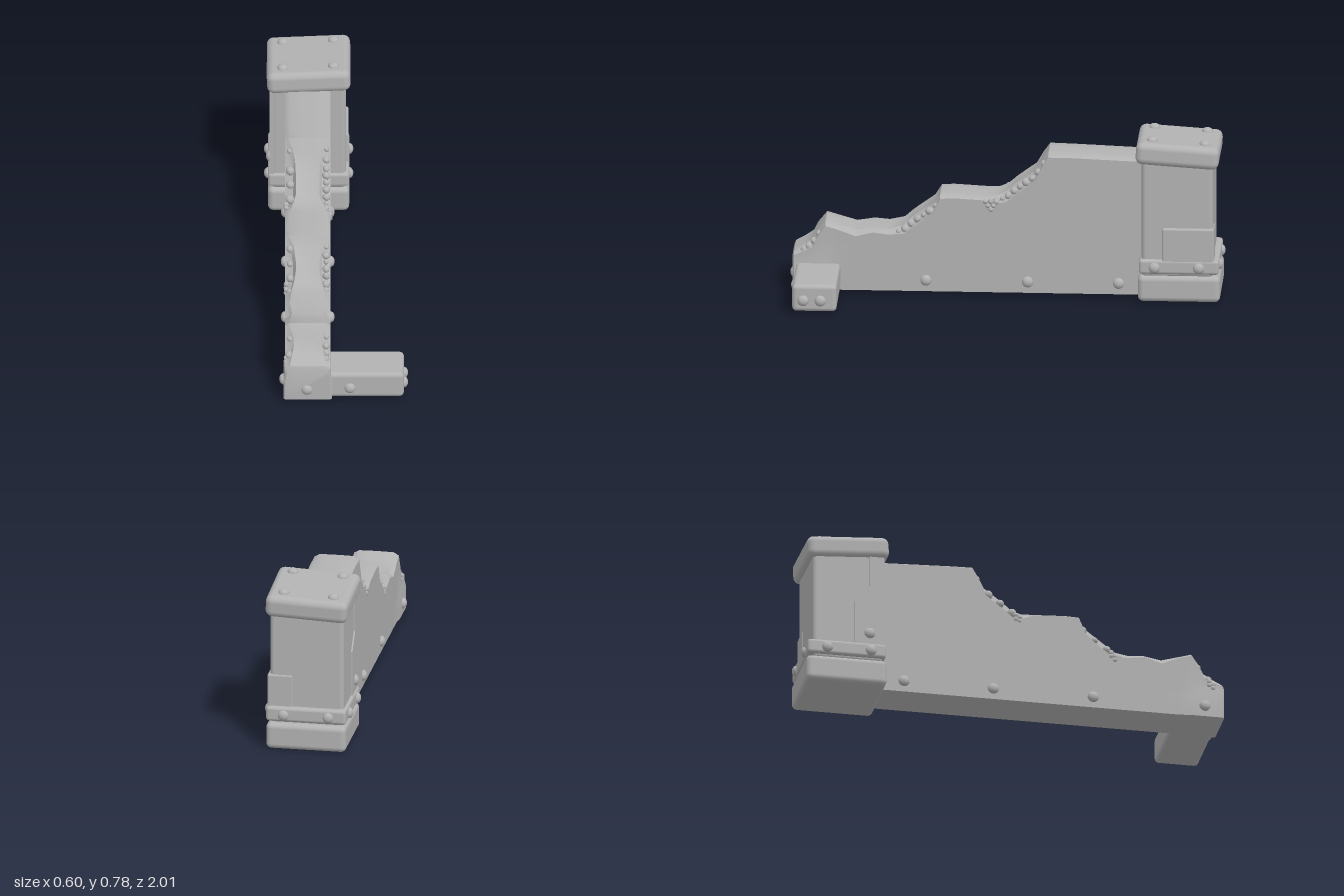
import * as THREE from 'three';
import { toCreasedNormals } from 'three/addons/utils/BufferGeometryUtils.js';
import { RoundedBoxGeometry } from 'three/addons/geometries/RoundedBoxGeometry.js';

const stone = new THREE.MeshStandardMaterial({ color: 0xb2b2b2 });
stone.name = 'grey stone';

// Wall crest from front to back: [z, height, how badly the edges are broken]
const crest = [
  [0.992, 0.175, 0], [0.985, 0.192, 0.1], [0.94, 0.22, 0.4], [0.9, 0.25, 0.7], [0.88, 0.29, 0.6], [0.84, 0.335, 0.1],
  [0.78, 0.317, 0.1], [0.7, 0.297, 0.4], [0.62, 0.307, 0.1], [0.55, 0.302, 0.2], [0.48, 0.322, 0.7],
  [0.44, 0.36, 1], [0.4, 0.39, 1], [0.34, 0.43, 0.7], [0.31, 0.475, 0.1], [0.25, 0.476, 0], [0.1, 0.468, 0],
  [0.04, 0.475, 0.6], [0, 0.495, 1], [-0.04, 0.53, 1], [-0.08, 0.56, 1], [-0.13, 0.595, 0.9],
  [-0.16, 0.645, 0.5], [-0.19, 0.684, 0.1], [-0.3, 0.68, 0], [-0.68, 0.665, 0],
];
const WALL_X = -0.122, WALL_HALF = 0.105;

function crestHeight(z) {
  for (let i = 1; i < crest.length; i++) {
    const [za, ya] = crest[i - 1], [zb, yb] = crest[i];
    if (z <= za && z >= zb) return ya + (yb - ya) * (za - z) / (za - zb);
  }
  return crest[0][1];
}

// Lofted wall with worn edges along the broken slopes
function wallGeometry() {
  const pos = [], index = [];
  let n = 0;
  crest.forEach(([z, y, worn], i) => {
    const w = WALL_HALF - (i === 0 ? 0.008 : 0);
    const foot = w + (z > 0.8 ? 0.007 : 0);
    const inset = 0.008 + 0.03 * worn;
    const dropL = 0.012 + 0.05 * worn, dropR = 0.012 + 0.032 * worn;
    const ring = [
      [-foot, 0.012], [-foot, 0.12], [-w, 0.15], [-w, y - dropL], [-w + inset, y - dropL * 0.6],
      [-w + inset + 0.012, y - 0.002], [-0.025, y - 0.008 * worn], [0.03, y - 0.008 * worn],
      [w - inset - 0.012, y - 0.002], [w - inset, y - dropR * 0.6], [w, y - dropR],
      [w, 0.15], [foot, 0.12], [foot, 0.012],
    ];
    n = ring.length;
    ring.forEach(([x, h]) => pos.push(WALL_X + x, h, z));
  });
  for (let i = 0; i < crest.length - 1; i++) {
    for (let j = 0; j < n; j++) {
      const a = i * n + j, b = i * n + (j + 1) % n;
      index.push(a, b, a + n, b, b + n, a + n);
    }
  }
  for (let j = 1; j < n - 1; j++) index.push(0, j + 1, j);
  const geo = new THREE.BufferGeometry();
  geo.setAttribute('position', new THREE.Float32BufferAttribute(pos, 3));
  geo.setIndex(index);
  return toCreasedNormals(geo, 0.6);
}

export function createModel() {
  const model = new THREE.Group();
  model.name = 'ruinedWall';
  const body = new THREE.Group();
  body.name = 'wallBody';
  body.rotation.y = -0.045;
  model.add(body);

  const add = (name, geo, x, y, z, parent = body) => {
    const mesh = new THREE.Mesh(geo, stone);
    mesh.name = name;
    mesh.position.set(x, y, z);
    parent.add(mesh);
    return mesh;
  };
  const block = (name, w, h, d, r, x, y, z, parent) =>
    add(name, new RoundedBoxGeometry(w, h, d, 3, r), x, y, z, parent);

  // Domed stud squashed along the axis it faces
  const studGeo = new THREE.SphereGeometry(0.026, 16, 12);
  const stud = (axis, x, y, z, parent) => {
    const m = add('stud', studGeo, x, y, z, parent);
    m.scale[axis] = 0.75;
    return m;
  };

  add('brokenWall', wallGeometry(), 0, 0, 0);

  // Short beam at the front
  block('frontBeam', 0.38, 0.128, 0.205, 0.02, 0.132, 0.075, 0.873);

  // Pillar
  const px = -0.118, pz = -0.79;
  block('pillarBase', 0.375, 0.125, 0.38, 0.025, px, 0.066, pz - 0.008);
  block('pillarShaft', 0.345, 0.56, 0.33, 0.02, px, 0.4, pz);
  block('pillarBand', 0.375, 0.07, 0.37, 0.015, px, 0.173, pz - 0.008);
  block('cornerPatch', 0.12, 0.17, 0.24, 0.01, 0.007, 0.275, pz - 0.05);

  // Tall slanted plate on the pillar's outer side
  const plate = new THREE.Shape();
  [[-0.62, 0.2], [-0.76, 0.2], [-0.76, 0.42], [-0.69, 0.5], [-0.69, 0.65], [-0.62, 0.65]]
    .forEach(([z, y], i) => (i ? plate.lineTo(z, y) : plate.moveTo(z, y)));
  const plateGeo = new THREE.ExtrudeGeometry(plate, { depth: 0.02, bevelEnabled: false });
  plateGeo.rotateY(-Math.PI / 2);
  add('sidePlate', plateGeo, px - 0.16, 0, 0);

  // Tilted cap
  const cap = new THREE.Group();
  cap.name = 'pillarCap';
  cap.position.set(px, 0.7, pz);
  cap.rotation.set(-0.065, 0, 0.045);
  body.add(cap);
  block('capStone', 0.385, 0.105, 0.385, 0.032, 0, 0, 0, cap);
  for (const sx of [-1, 1]) for (const sz of [-1, 1]) stud('y', sx * 0.117, 0.052, sz * 0.122, cap);

  // Studs around the band
  for (const s of [-1, 1]) {
    for (const z of [-0.685, -0.89]) stud('x', px + s * 0.187, 0.17, z);
    stud('z', px + s * 0.105, 0.17, pz - 0.19);
  }
  stud('x', px - 0.178, 0.26, -0.69);

  // Studs along the wall and beam
  for (const z of [0.375, -0.095, -0.515]) {
    for (const s of [-1, 1]) stud('x', WALL_X + s * WALL_HALF, 0.065, z);
  }
  stud('x', WALL_X - WALL_HALF - 0.007, 0.065, 0.9);
  stud('z', -0.125, 0.063, 0.988);
  stud('z', 0.073, 0.063, 0.974);
  for (const z of [0.925, 0.845]) stud('x', 0.322, 0.065, z);

  // Pebbles exposed along the broken edges
  let seed = 7;
  const rand = () => (seed = (seed * 16807) % 2147483647) / 2147483647;
  const pebbleGeo = new THREE.SphereGeometry(1, 12, 8);
  const pebble = (x, y, z, r) => {
    const m = add('pebble', pebbleGeo, x, y, z);
    m.scale.set(r * 0.9, r * (0.8 + 0.4 * rand()), r);
    m.rotation.set(rand(), rand(), rand());
  };
  const slopes = [[0.96, 0.87], [0.5, 0.33], [0.05, -0.17]];
  slopes.forEach(([z0, z1], k) => {
    const count = [5, 7, 9][k];
    for (let i = 0; i < count; i++) {
      const z = z0 + (z1 - z0) * i / (count - 1);
      const y = crestHeight(z);
      pebble(WALL_X + WALL_HALF - 0.02, y - 0.023, z, 0.012 + 0.008 * rand());
      if (i % 2 === 0) pebble(WALL_X - WALL_HALF + 0.024, y - 0.035, z, 0.014 + 0.009 * rand());
    }
    // Loose cluster at the left foot of each slope
    for (let i = 0; i < 4; i++) {
      const z = z0 - 0.02 - 0.018 * (i % 2);
      pebble(WALL_X - WALL_HALF + 0.006, crestHeight(z) - 0.04 - 0.018 * (i >> 1), z, 0.013);
    }
  });
  // Small cluster on the right face under the upper slope
  [[0.1, 0.45], [0.075, 0.452], [0.05, 0.45], [0.088, 0.432], [0.064, 0.432], [0.076, 0.415]]
    .forEach(([z, y]) => pebble(WALL_X + WALL_HALF - 0.003, y, z, 0.013));

  return model;
}
